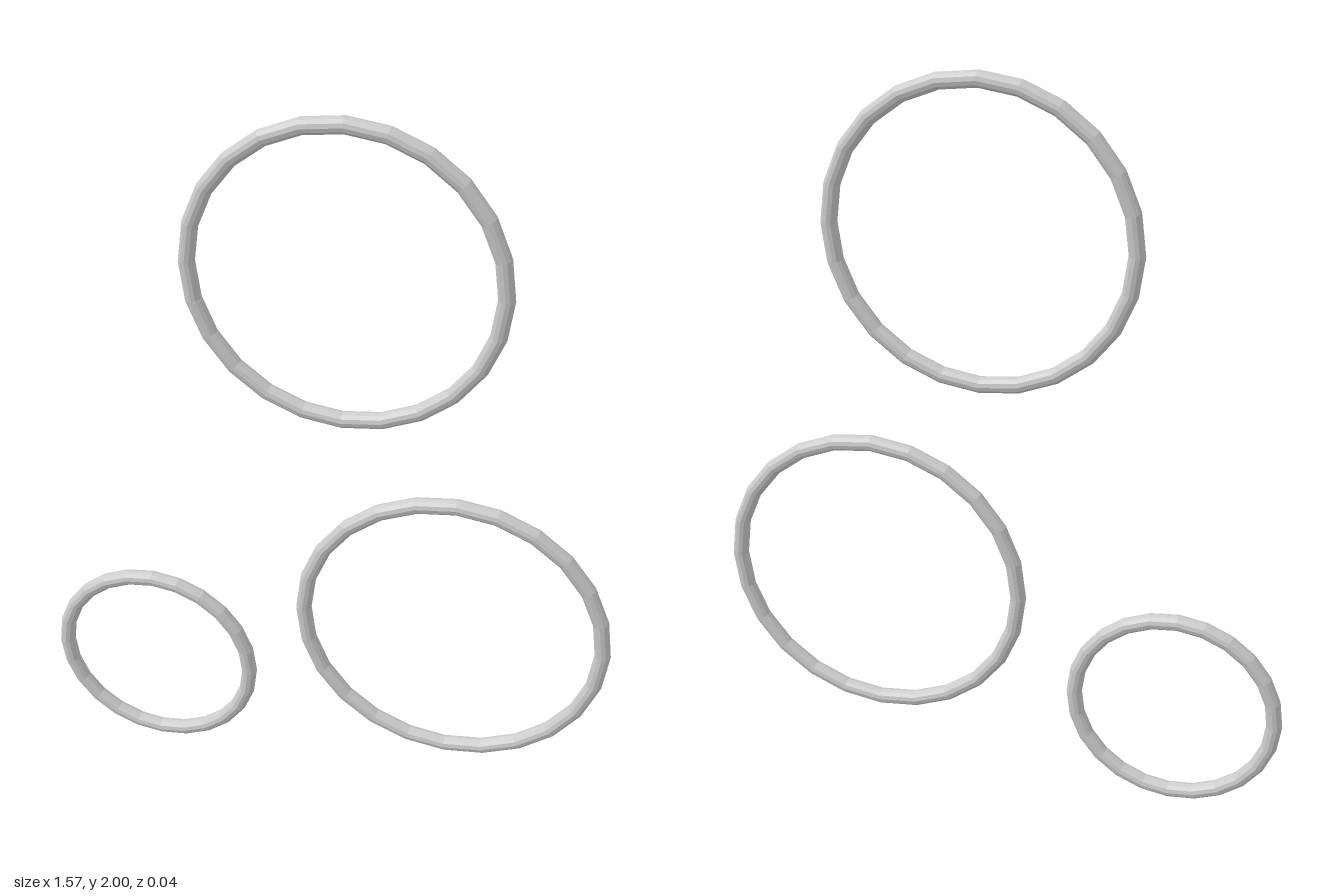
import * as THREE from 'three';

const TUBE = 0.0215;

export function createModel() {
  const model = new THREE.Group();
  model.name = 'rings';
  const material = new THREE.MeshStandardMaterial({ color: 0xcccccc, flatShading: true });

  // Three separate upright rings in one plane: name, centre x, centre y, outer radius
  const rings = [
    ['topRing', 0.05, 1.584, 0.416],
    ['largeLeftRing', 0.354, 0.565, 0.43],
    ['smallRightRing', -0.492, 0.298, 0.297],
  ];
  for (const [name, x, y, outer] of rings) {
    const ring = new THREE.Mesh(new THREE.TorusGeometry(outer - TUBE, TUBE, 12, 24), material);
    ring.name = name;
    ring.position.set(x, y, 0);
    model.add(ring);
  }
  return model;
}
